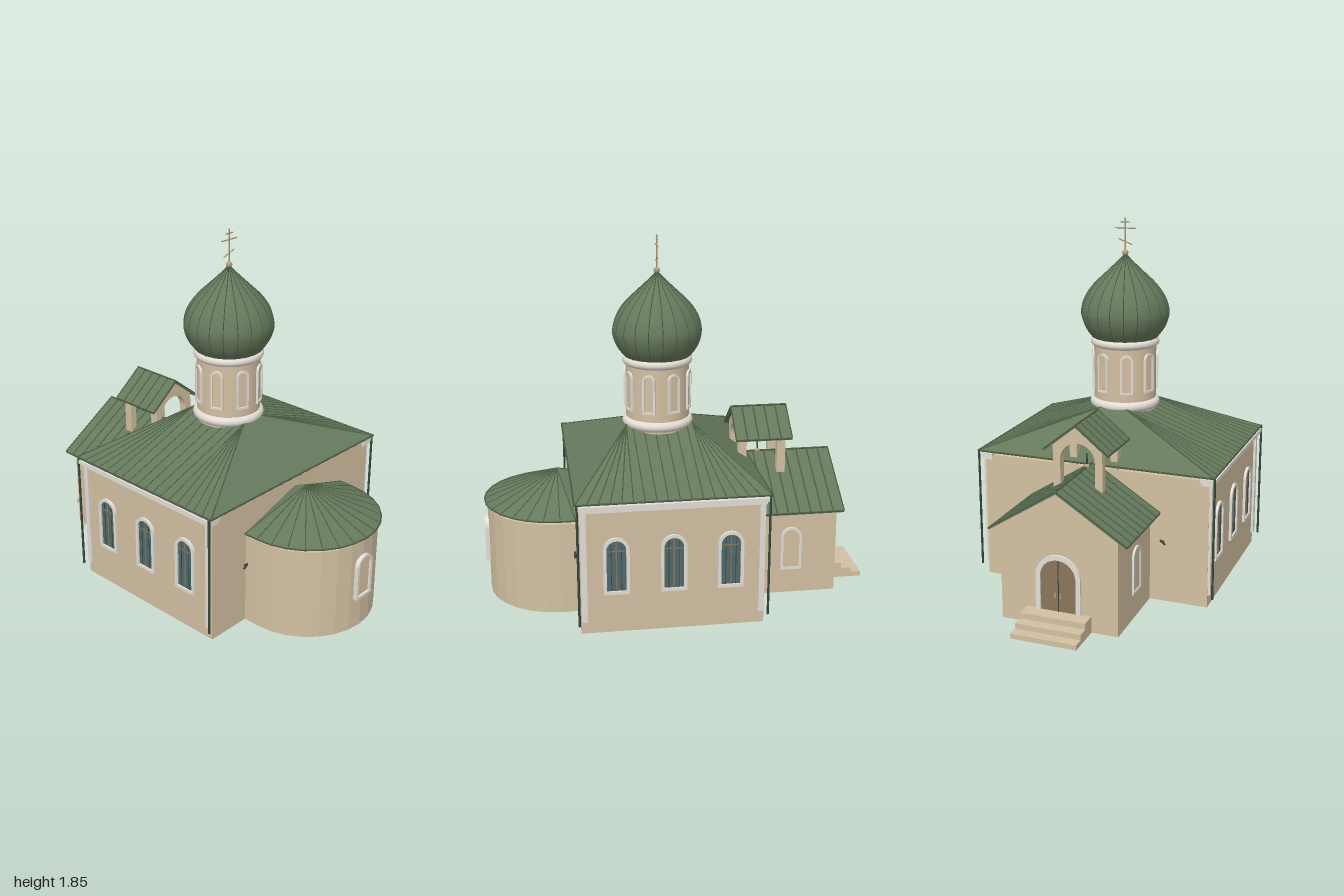
import * as THREE from 'three';

const mat = (name, color, extra = {}) => Object.assign(new THREE.MeshStandardMaterial({ color, ...extra }), { name });

export function createModel() {
  const wall = mat('tan plaster', 0xd3c0a2);
  const green = mat('green roof', 0x66795c, { side: THREE.DoubleSide });
  const seam = mat('seam green', 0x4b5f45);
  const pipe = mat('dark green metal', 0x36473a);
  const trim = mat('pale trim', 0xe4dfd6);
  const glass = mat('window glass', 0x4f696c);
  const gold = mat('old gold', 0xb89f78);
  const wood = mat('door wood', 0x8c755a);

  const root = new THREE.Group();
  root.name = 'church';
  const add = (name, geo, material, parent = root) => {
    const m = new THREE.Mesh(geo, material);
    m.name = name;
    parent.add(m);
    return m;
  };
  // Box given by its min and max corners
  const box = (name, x0, x1, y0, y1, z0, z1, material, parent = root) => {
    const m = add(name, new THREE.BoxGeometry(x1 - x0, y1 - y0, z1 - z0), material, parent);
    m.position.set((x0 + x1) / 2, (y0 + y1) / 2, (z0 + z1) / 2);
    return m;
  };
  // Thin rod between two points
  const rod = (name, a, b, r, material, parent = root, sides = 5) => {
    const p = new THREE.Vector3(...a), d = new THREE.Vector3(...b).sub(p);
    const m = add(name, new THREE.CylinderGeometry(r, r, d.length(), sides), material, parent);
    m.position.copy(p).addScaledVector(d, 0.5);
    m.quaternion.setFromUnitVectors(new THREE.Vector3(0, 1, 0), d.normalize());
    return m;
  };
  // Surface from a list of convex polygons
  const surface = (polys) => {
    const pos = [];
    for (const p of polys)
      for (let i = 1; i < p.length - 1; i++) pos.push(...p[0], ...p[i], ...p[i + 1]);
    const g = new THREE.BufferGeometry();
    g.setAttribute('position', new THREE.Float32BufferAttribute(pos, 3));
    g.computeVertexNormals();
    return g;
  };
  const arch = (w, h, y0 = 0, Type = THREE.Shape) => {
    const s = new Type(), r = w / 2;
    s.moveTo(-r, y0);
    s.lineTo(r, y0);
    s.lineTo(r, h - r);
    s.absarc(0, h - r, r, 0, Math.PI, false);
    s.lineTo(-r, y0);
    return s;
  };
  const extrude = (shape, depth) =>
    new THREE.ExtrudeGeometry(shape, { depth, bevelEnabled: false, curveSegments: 10 });
  const polygon = (pts) => new THREE.Shape(pts.map(p => new THREE.Vector2(...p)));

  // Arched window or door facing +z, standing on its origin
  const archedOpening = (name, w, h, t, depth, fill, sill = t) => {
    const g = new THREE.Group();
    g.name = name;
    const s = arch(w, h);
    s.holes.push(arch(w - 2 * t, h - t, sill, THREE.Path));
    add('archFrame', extrude(s, depth), trim, g);
    const pane = add('pane', extrude(arch(w - 2 * t, h - t, sill), 0.004), fill, g);
    pane.position.z = 0.001;
    root.add(g);
    return g;
  };

  // Nave walls, corner strips and cornices
  box('naveWalls', -0.365, 0.54, 0, 0.66, -0.6, 0.6, wall);
  for (const s of [-1, 1]) {
    const zBox = (name, x0, x1, y0, y1, a, b, m) =>
      box(name, x0, x1, y0, y1, Math.min(a * s, b * s), Math.max(a * s, b * s), m);
    zBox('cornerStrip', -0.363, -0.335, 0.065, 0.64, 0.59, 0.613, trim);
    zBox('cornerStrip', 0.508, 0.538, 0.065, 0.64, 0.59, 0.613, trim);
    zBox('lowerCornice', -0.37, 0.546, 0.635, 0.653, 0.56, 0.618, trim);
    zBox('upperCornice', -0.38, 0.552, 0.653, 0.673, 0.555, 0.634, trim);
    for (const x of [-0.38, 0.55]) {
      rod('downpipe', [x, 0.055, s * 0.63], [x, 0.68, s * 0.63], 0.006, pipe, root, 8);
      rod('wallBracket', [x, 0.328, s * 0.358], [x, 0.307, s * 0.385], 0.006, pipe);
      rod('wallBracketArm', [x - Math.sign(x) * 0.012, 0.32, s * 0.37], [x, 0.32, s * 0.37], 0.006, pipe);
    }
    // Nave windows with glazing bars
    for (const x of [-0.195, 0.085, 0.365]) {
      const w = archedOpening('naveWindow', 0.128, 0.295, 0.016, 0.014, glass);
      box('mullion', -0.003, 0.003, 0.016, 0.277, 0.003, 0.008, wood, w);
      for (const dx of [-0.025, 0.025]) box('sideMullion', dx - 0.0015, dx + 0.0015, 0.016, 0.262, 0.003, 0.007, pipe, w);
      box('transom', -0.048, 0.048, 0.222, 0.227, 0.003, 0.008, wood, w);
      w.position.set(x, 0.205, s * 0.599);
      if (s < 0) w.rotation.y = Math.PI;
    }
    // Blind porch window
    const pw = archedOpening('porchWindow', 0.11, 0.235, 0.013, 0.01, wall);
    pw.position.set(-0.573, 0.133, s * 0.3);
    if (s < 0) pw.rotation.y = Math.PI;
  }

  // Nave roof: hipped shell rising to the drum
  const E = { x0: -0.39, x1: 0.56, z: 0.63, y: 0.684 }, T = { x0: -0.085, x1: 0.255, z: 0.07, y: 0.89 };
  const ring = (r) => [[r.x0, r.y, r.z], [r.x1, r.y, r.z], [r.x1, r.y, -r.z], [r.x0, r.y, -r.z]];
  const lo = ring(E), hi = ring(T);
  add('naveRoof', surface([...lo.map((p, i) => [p, lo[(i + 1) % 4], hi[(i + 1) % 4], hi[i]]), hi]), green);
  lo.forEach((p, i) => {
    rod('eaveEdge', p, lo[(i + 1) % 4], 0.005, seam);
    rod('hipSeam', p, hi[i], 0.003, seam);
  });
  for (const s of [-1, 1])
    for (let i = 1; i < 17; i++) {
      const x = E.x0 + (E.x1 - E.x0) * i / 17;
      rod('roofSeam', [x, E.y, s * E.z], [THREE.MathUtils.clamp(x, T.x0, T.x1), T.y, s * T.z], 0.003, seam);
    }

  // Drum with mouldings and blind arches
  const tower = new THREE.Group();
  tower.name = 'tower';
  tower.position.x = 0.085;
  root.add(tower);
  const drum = add('drum', new THREE.CylinderGeometry(0.163, 0.163, 0.38, 40), wall, tower);
  drum.position.y = 1.05;
  for (const [y, r, t] of [[1.218, 0.156, 0.024], [0.895, 0.156, 0.027]]) {
    const m = add('drumMoulding', new THREE.TorusGeometry(r, t, 10, 40), trim, tower);
    m.rotation.x = Math.PI / 2;
    m.position.y = y;
  }
  for (let i = 0; i < 8; i++) {
    const a = (i + 0.5) * Math.PI / 4;
    const w = archedOpening('drumArch', 0.066, 0.205, 0.01, 0.012, wall);
    w.rotation.y = a;
    w.position.set(Math.sin(a) * 0.16, 0.965, Math.cos(a) * 0.16);
    tower.add(w);
  }

  // Onion dome with ribs
  const profile = new THREE.SplineCurve([[0.168, 1.238], [0.203, 1.285], [0.224, 1.34], [0.226, 1.385], [0.207, 1.445],
    [0.164, 1.508], [0.104, 1.566], [0.05, 1.617], [0.008, 1.66]].map(p => new THREE.Vector2(...p))).getPoints(26);
  add('onionDome', new THREE.LatheGeometry(profile, 40), green, tower);
  const ribCurve = new THREE.CatmullRomCurve3(profile.map(p => new THREE.Vector3(p.x, p.y, 0)));
  const ribGeo = new THREE.TubeGeometry(ribCurve, 24, 0.0022, 4);
  for (let i = 0; i < 20; i++) add('domeRib', ribGeo, seam, tower).rotation.y = i * Math.PI / 10;

  // Finial ball and cross
  add('finialBall', new THREE.SphereGeometry(0.016, 16, 12), gold, tower).position.y = 1.672;
  const bars = [[[0, 1.67, 0], [0, 1.85, 0]], [[0, 1.828, -0.025], [0, 1.828, 0.025]],
    [[0, 1.797, -0.055], [0, 1.797, 0.055]], [[0, 1.742, -0.036], [0, 1.715, 0.036]]];
  for (const [a, b] of bars) rod('crossBar', a, b, 0.0035, gold, tower);

  // Apse: rounded wall and fan roof
  const apseRim = (r, n, x0) => {
    const pts = [[x0, r]];
    for (let i = 0; i <= n; i++) {
      const a = Math.PI / 2 - Math.PI * i / n;
      pts.push([0.62 + r * Math.cos(a), r * Math.sin(a)]);
    }
    return [...pts, [x0, -r]];
  };
  const apseWall = add('apseWall', extrude(polygon(apseRim(0.361, 14, 0.53)), 0.48), wall);
  apseWall.rotation.x = -Math.PI / 2;
  const rim = apseRim(0.374, 14, 0.543).map(([x, z]) => [x, 0.499, z]);
  const apex = [0.615, 0.647, 0], back = [0.543, 0.62, 0];
  const fan = rim.slice(1).map((p, i) => [apex, rim[i], p]);
  add('apseRoof', surface([...fan, [apex, back, rim[0]], [apex, rim[rim.length - 1], back]]), green);
  rim.forEach((p, i) => {
    rod('apseSeam', p, apex, 0.0028, seam);
    if (i) rod('apseEave', rim[i - 1], p, 0.004, seam);
  });
  const aw = archedOpening('apseWindow', 0.116, 0.235, 0.013, 0.022, wall);
  aw.children[1].position.z = 0.006;
  aw.rotation.y = Math.PI / 2;
  aw.position.set(0.976, 0.17, 0);

  // Pitched roof along x with standing seams
  const gableRoof = (name, x0, x1, yRidge, yEave, z, n) => {
    const t = 0.012;
    const s = polygon([[-z, yEave - t], [0, yRidge - t], [z, yEave - t], [z, yEave], [0, yRidge], [-z, yEave]]);
    const roof = add(name, extrude(s, x1 - x0), green);
    roof.rotation.y = Math.PI / 2;
    roof.position.x = x0;
    rod('ridgeSeam', [x0, yRidge, 0], [x1, yRidge, 0], 0.005, seam);
    for (const k of [-1, 1]) {
      rod('eaveSeam', [x0, yEave - 0.004, k * z], [x1, yEave - 0.004, k * z], 0.005, seam);
      for (let i = 0; i <= n; i++) {
        const x = x0 + (x1 - x0) * i / n;
        rod('pitchSeam', [x, yRidge, 0], [x, yEave, k * z], 0.0035, seam);
      }
    }
  };

  // Porch
  const gable = polygon([[-0.3, 0], [0.3, 0], [0.3, 0.485], [0, 0.675], [-0.3, 0.485]]);
  const porch = add('porchWalls', extrude(gable, 0.46), wall);
  porch.rotation.y = Math.PI / 2;
  porch.position.x = -0.812;
  gableRoof('porchRoof', -0.835, -0.366, 0.69, 0.468, 0.35, 8);
  const door = archedOpening('porchDoor', 0.23, 0.29, 0.024, 0.014, wood, 0);
  box('doorSplit', -0.002, 0.002, 0, 0.264, 0.004, 0.008, pipe, door);
  for (const s of [-1, 1]) box('doorHandle', s * 0.014 - 0.003, s * 0.014 + 0.003, 0.075, 0.095, 0.004, 0.018, gold, door);
  door.rotation.y = -Math.PI / 2;
  door.position.set(-0.811, 0.08, 0);
  [[-1, 0.025], [-0.945, 0.052], [-0.89, 0.082]].forEach(([x, h]) => box('porchStep', x, -0.81, 0, h, -0.168, 0.165, wall));

  // Belfry: two arched gable frames, roof and bell
  const frame = polygon([[-0.128, 0.58], [0.128, 0.58], [0.128, 0.828], [0, 0.932], [-0.128, 0.828]]);
  frame.holes.push(arch(0.18, 0.845, 0.581, THREE.Path));
  for (const x of [-0.571, -0.365]) {
    const f = add('belfryFrame', extrude(frame, 0.044), wall);
    f.rotation.y = Math.PI / 2;
    f.position.x = x;
  }
  gableRoof('belfryRoof', -0.597, -0.302, 0.942, 0.81, 0.165, 5);
  rod('bellRod', [-0.45, 0.69, 0], [-0.45, 0.76, 0], 0.004, pipe);
  add('bell', new THREE.SphereGeometry(0.014, 12, 8), gold).position.set(-0.45, 0.692, 0);

  return root;
}
